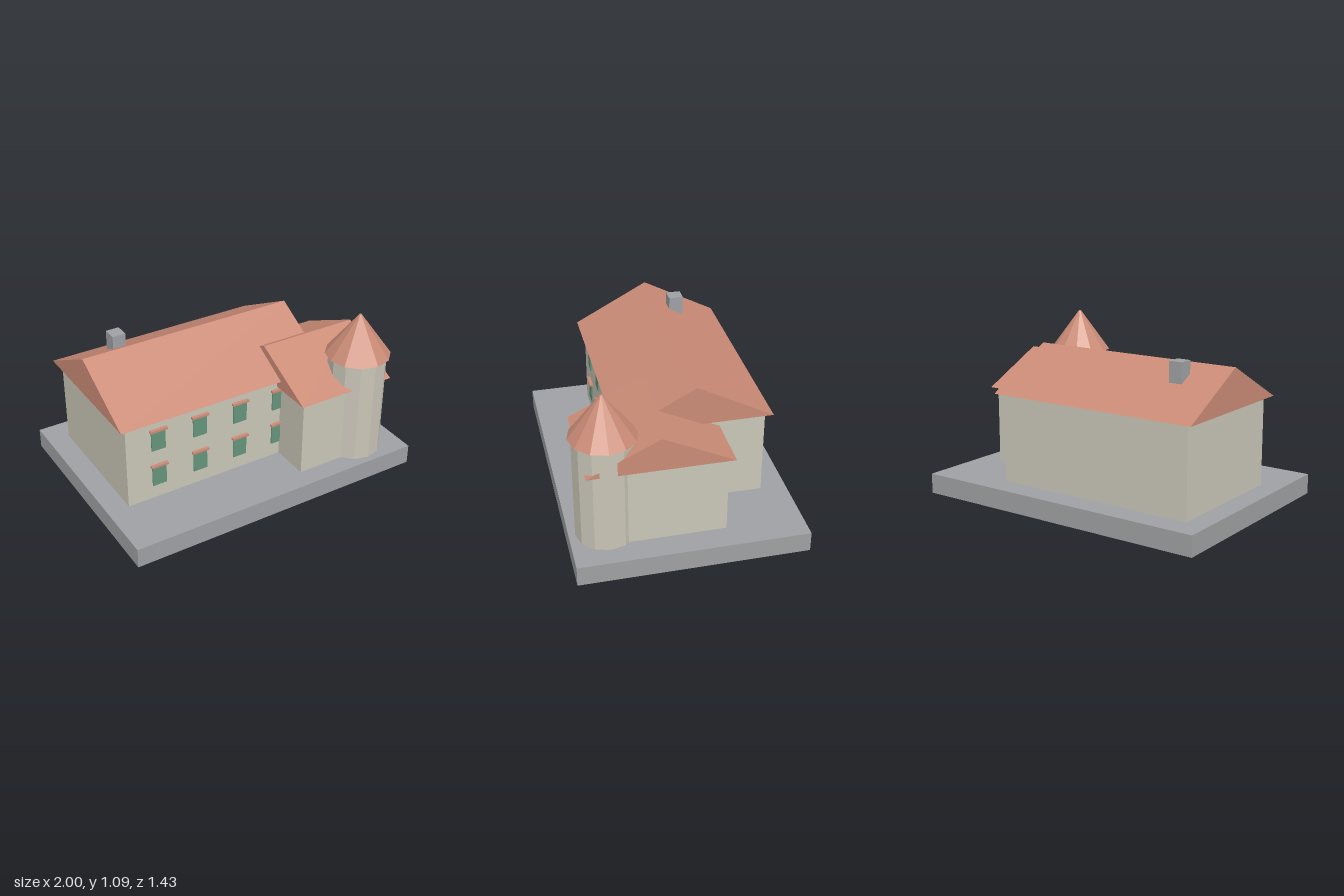
import * as THREE from 'three';

const mat = (name, color) => {
  const m = new THREE.MeshStandardMaterial({ color });
  m.name = name;
  return m;
};

export function createModel() {
  const model = new THREE.Group();
  model.name = 'manorHouse';
  const stone = mat('greyStone', 0x9fa0a3);
  const plaster = mat('palePlaster', 0xc9c5b7);
  const tile = mat('terracottaTile', 0xca8b76);
  const shutter = mat('greenShutter', 0x66947a);

  const add = (name, geometry, material) => {
    const mesh = new THREE.Mesh(geometry, material);
    mesh.name = name;
    model.add(mesh);
    return mesh;
  };

  // Box given by its extents on each axis
  const box = (name, [x0, x1], [y0, y1], [z0, z1], material) =>
    add(name, new THREE.BoxGeometry(x1 - x0, y1 - y0, z1 - z0), material)
      .position.set((x0 + x1) / 2, (y0 + y1) / 2, (z0 + z1) / 2);

  // Solid gable roof with its ridge along x
  const gableRoof = (name, [x0, x1], eaves, ridge, [z0, z1]) => {
    const half = (z1 - z0) / 2;
    const shape = new THREE.Shape([
      new THREE.Vector2(-half, eaves),
      new THREE.Vector2(half, eaves),
      new THREE.Vector2(0, ridge),
    ]);
    const g = new THREE.ExtrudeGeometry(shape, { depth: x1 - x0, bevelEnabled: false });
    g.rotateY(Math.PI / 2);
    add(name, g, tile).position.set(x0, 0, (z0 + z1) / 2);
  };

  // Faceted twelve-sided drum or cone
  const faceted = (name, rTop, rBottom, y0, y1, material) => {
    const g = new THREE.CylinderGeometry(rTop, rBottom, y1 - y0, 12).toNonIndexed();
    g.computeVertexNormals();
    add(name, g, material).position.set(0.697, (y0 + y1) / 2, 0.487);
  };

  // Plinth
  box('plinth', [-1, 1], [0, 0.13], [-0.713, 0.713], stone);

  // Main house
  box('mainWalls', [-0.86, 0.5], [0.13, 0.704], [-0.55, 0.33], plaster);
  gableRoof('mainRoof', [-0.904, 0.54], 0.703, 0.96, [-0.592, 0.375]);
  box('chimney', [-0.655, -0.567], [0.75, 0.99], [-0.298, -0.205], stone);

  // Side wing
  box('wingWalls', [0.23, 0.835], [0.13, 0.647], [-0.23, 0.584], plaster);
  gableRoof('wingRoof', [0.2, 0.868], 0.646, 0.86, [-0.265, 0.619]);

  // Corner tower
  faceted('towerWall', 0.185, 0.185, 0.13, 0.822, plaster);
  faceted('towerRoof', 0.008, 0.207, 0.82, 1.09, tile);

  // Two rows of front windows with small tiled hoods
  for (const y of [0.225, 0.48]) {
    for (let i = 0; i < 4; i++) {
      const x = -0.645 + i * 0.286;
      box('window', [x - 0.047, x + 0.047], [y, y + 0.138], [0.32, 0.339], shutter);
      box('windowHood', [x - 0.057, x + 0.057], [y + 0.136, y + 0.15], [0.32, 0.352], tile);
    }
  }
  return model;
}
